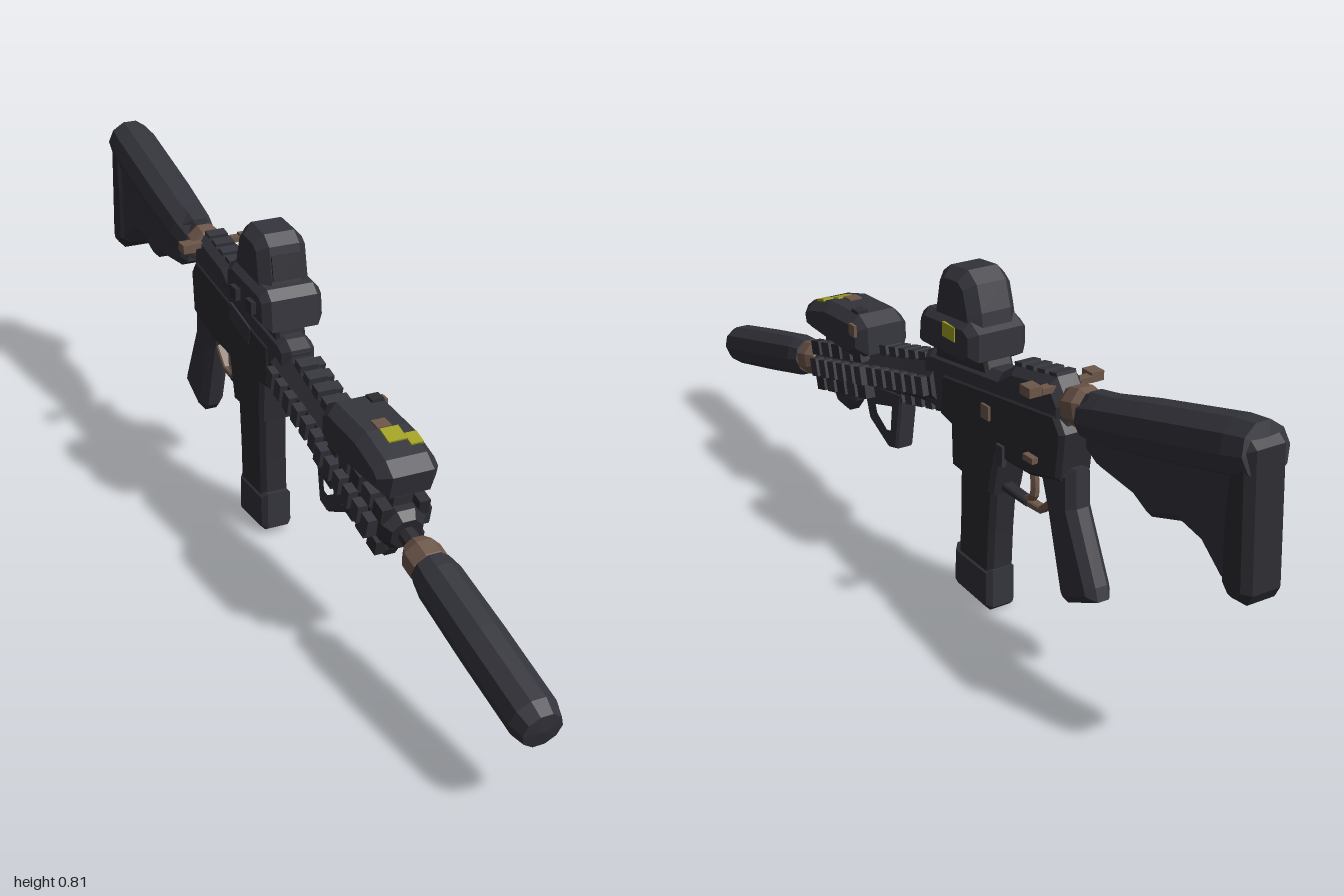
import * as THREE from 'three';

const flat = (name, color) => {
  const m = new THREE.MeshStandardMaterial({ color, flatShading: true });
  m.name = name;
  return m;
};

export function createModel() {
  const body = flat('charcoal', 0x34343c);
  const dark = flat('darkCharcoal', 0x2c2c32);
  const tan = flat('bronze', 0x6e574a);
  const yellow = flat('yellow', 0xa0a022);

  const model = new THREE.Group();
  model.name = 'rifle';
  model.rotation.y = -0.5;
  const root = new THREE.Group();
  root.add(model);

  const add = (name, geo, mat, parent = model) => {
    const mesh = new THREE.Mesh(geo, mat);
    mesh.name = name;
    parent.add(mesh);
    return mesh;
  };
  const toShape = pts => new THREE.Shape(pts.map(p => new THREE.Vector2(...p)));

  // Side profile (length, height) given a width and chamfered edges
  const side = (name, pts, w, mat, bevel = 0.012, hole = null) => {
    const shape = toShape(pts);
    if (hole) shape.holes.push(new THREE.Path(hole.map(p => new THREE.Vector2(...p))));
    const geo = new THREE.ExtrudeGeometry(shape, {
      depth: w - 2 * bevel, bevelEnabled: true, bevelThickness: bevel,
      bevelSize: bevel, bevelOffset: -bevel, bevelSegments: 1,
    });
    geo.translate(0, 0, bevel - w / 2).rotateY(-Math.PI / 2);
    return add(name, geo, mat);
  };
  const box = (name, size, pos, mat, parent = model, tilt = 0) => {
    const mesh = add(name, new THREE.BoxGeometry(...size), mat, parent);
    mesh.position.set(...pos);
    mesh.rotation.x = tilt;
    return mesh;
  };

  // Bore line: everything turned around the barrel points slightly down
  const bore = new THREE.Group();
  bore.name = 'boreLine';
  bore.position.y = 0.488;
  bore.rotation.x = 0.245;
  model.add(bore);
  const lathe = (name, pts, mat, sides = 8) => {
    const geo = new THREE.LatheGeometry(pts.map(p => new THREE.Vector2(...p)), sides);
    geo.rotateY(Math.PI / sides).rotateX(Math.PI / 2);
    return add(name, geo, mat, bore);
  };

  lathe('suppressor', [[0, 0.68], [0.047, 0.68], [0.054, 0.72], [0.056, 0.9], [0.055, 1.1],
    [0.045, 1.135], [0, 1.14]], body, 10);
  lathe('suppressorCollar', [[0, 0.605], [0.032, 0.61], [0.046, 0.635], [0.046, 0.675],
    [0.04, 0.7], [0, 0.7]], tan);
  lathe('barrel', [[0, 0.3], [0.021, 0.3], [0.021, 0.63], [0, 0.63]], dark);

  // Handguard core with toothed rails on four sides
  lathe('handguard', [[0, -0.03], [0.058, -0.03], [0.052, 0.12], [0.05, 0.3], [0.058, 0.34],
    [0.056, 0.55], [0.04, 0.57], [0, 0.57]], dark);
  for (let k = 0; k < 4; k++) {
    const rail = new THREE.Group();
    rail.name = 'rail';
    rail.rotation.z = k * Math.PI / 2;
    bore.add(rail);
    for (let i = 0; i < 12; i++) {
      const t = 0.0 + i * 0.047;
      const out = t > 0.27 ? 0.063 : 0.055;
      box('railTooth', [0.046, 0.028, 0.031], [0, out, t], body, rail);
    }
  }
  // Stepped side blocks at the front of the handguard
  for (const sx of [-1, 1]) for (const row of [-1, 1]) for (let i = 0; i < 5; i++) {
    box('handguardBlock', [0.026, 0.036, 0.04],
      [sx * 0.045, row * 0.046, 0.31 + i * 0.055], i % 2 ? body : dark, bore);
  }

  // Top mounted light unit
  side('lightUnit', [[0.56, 0.45], [0.575, 0.505], [0.54, 0.53], [0.45, 0.555], [0.31, 0.562],
    [0.27, 0.54], [0.265, 0.47], [0.33, 0.44]], 0.145, body, 0.024);
  box('yellowLabel', [0.044, 0.006, 0.044], [0.004, 0.549, 0.474], yellow, model, 0.27);
  box('yellowLabelSide', [0.03, 0.006, 0.036], [0.04, 0.543, 0.497], yellow, model, 0.27);
  box('bronzeLabel', [0.034, 0.006, 0.034], [-0.004, 0.557, 0.434], tan, model, 0.06);
  box('lightUnitButton', [0.03, 0.012, 0.03], [0.035, 0.562, 0.33], dark);
  box('lightUnitCatch', [0.008, 0.03, 0.026], [0.073, 0.53, 0.3], tan);

  // Hand stop and front hook under the handguard
  side('handStop', [[0.34, 0.36], [0.31, 0.28], [0.22, 0.235], [0.18, 0.245], [0.155, 0.4], [0.3, 0.38]],
    0.05, body, 0.006, [[0.285, 0.335], [0.275, 0.305], [0.225, 0.275], [0.2, 0.28], [0.192, 0.36]]);
  side('frontHook', [[0.53, 0.33], [0.48, 0.26], [0.43, 0.255], [0.4, 0.29], [0.38, 0.34]], 0.05, body);

  // Receiver
  side('upperReceiver', [[0.03, 0.43], [0.03, 0.56], [0, 0.577], [-0.28, 0.612], [-0.33, 0.645],
    [-0.48, 0.672], [-0.52, 0.62], [-0.52, 0.53], [-0.06, 0.43]], 0.084, body, 0.018);
  side('lowerReceiver', [[-0.05, 0.43], [-0.098, 0.42], [-0.103, 0.32], [-0.265, 0.308], [-0.29, 0.415],
    [-0.41, 0.42], [-0.52, 0.45], [-0.53, 0.56], [-0.5, 0.6], [-0.06, 0.54]], 0.092, dark, 0.01);
  for (let i = 0; i < 4; i++) {
    box('receiverRailTooth', [0.05, 0.016, 0.028], [0, 0.648 + i * 0.007, -0.34 - i * 0.042], body, model, 0.2);
  }
  box('ejectionCover', [0.008, 0.045, 0.12], [-0.043, 0.535, -0.22], body, model, 0.2);
  box('receiverPin', [0.012, 0.034, 0.03], [0.046, 0.512, -0.25], tan);
  box('selectorLever', [0.022, 0.014, 0.036], [0.05, 0.472, -0.43], tan);
  box('boltCatch', [0.012, 0.05, 0.025], [0.047, 0.43, -0.31], body);

  // Charging handle with a wing on each side
  box('chargingHandle', [0.13, 0.014, 0.022], [0, 0.648, -0.475], tan);
  for (const sx of [-1, 1]) box('chargingHandleWing', [0.032, 0.022, 0.036], [sx * 0.08, 0.65, -0.465], tan);

  // Magazine and its foot
  side('magazine', [[-0.122, 0.36], [-0.12, 0.2], [-0.114, 0.04], [-0.25, 0.03], [-0.256, 0.2],
    [-0.268, 0.36]], 0.07, dark, 0.012);
  side('magazineFoot', [[-0.104, 0.115], [-0.102, 0.02], [-0.12, 0.008], [-0.245, 0], [-0.258, 0.012],
    [-0.255, 0.11]], 0.078, body, 0.012);

  // Trigger, guard and grip
  side('triggerGuard', [[-0.25, 0.335], [-0.25, 0.315], [-0.36, 0.315], [-0.36, 0.33]], 0.03, dark, 0.004);
  const curve = new THREE.CatmullRomCurve3([[0.43, -0.365], [0.38, -0.375], [0.34, -0.372], [0.324, -0.345]]
    .map(([y, z]) => new THREE.Vector3(0, y, z)));
  add('trigger', new THREE.TubeGeometry(curve, 6, 0.011, 6), tan);
  side('guardRear', [[-0.36, 0.332], [-0.36, 0.315], [-0.41, 0.318], [-0.46, 0.36], [-0.45, 0.375],
    [-0.405, 0.333]], 0.024, tan, 0.003);
  side('grip', [[-0.42, 0.46], [-0.455, 0.36], [-0.51, 0.175], [-0.53, 0.155], [-0.635, 0.205],
    [-0.625, 0.235], [-0.55, 0.39], [-0.545, 0.48]], 0.066, body, 0.018);

  // Holographic sight
  side('sightMount', [[-0.02, 0.56], [-0.03, 0.63], [-0.22, 0.64], [-0.24, 0.59]], 0.075, dark, 0.008);
  side('sightBase', [[0.0, 0.6], [-0.006, 0.675], [-0.03, 0.695], [-0.2, 0.71], [-0.235, 0.69],
    [-0.236, 0.625], [-0.2, 0.605]], 0.152, body, 0.018);
  side('sightHood', [[-0.04, 0.67], [-0.06, 0.785], [-0.09, 0.807], [-0.16, 0.814], [-0.195, 0.79],
    [-0.215, 0.73], [-0.225, 0.67]], 0.124, body, 0.024);
  box('sightWindow', [0.072, 0.06, 0.006], [0, 0.735, -0.0495], dark, model, -0.17);
  box('sightLabel', [0.006, 0.034, 0.05], [0.0755, 0.672, -0.142], yellow);
  for (const z of [-0.07, -0.16]) box('sightKnob', [0.02, 0.03, 0.035], [-0.078, 0.645, z], dark);

  // Stock: nut, tube, rounded body, lower frame and pad
  lathe('stockNut', [[0, -0.59], [0.036, -0.59], [0.046, -0.575], [0.046, -0.54], [0.038, -0.52], [0, -0.52]], tan);
  lathe('bufferTube', [[0, -0.7], [0.034, -0.7], [0.034, -0.5], [0, -0.5]], dark);
  lathe('stockBody', [[0, -1.12], [0.058, -1.115], [0.064, -1.06], [0.063, -0.8], [0.058, -0.65],
    [0.048, -0.585], [0, -0.58]], body, 10).position.y = -0.022;
  side('stockFrame', [[-0.59, 0.62], [-0.595, 0.555], [-0.64, 0.53], [-0.76, 0.515], [-0.81, 0.49],
    [-0.9, 0.52], [-0.97, 0.505], [-1.03, 0.455], [-1.09, 0.44], [-1.1, 0.6], [-1.08, 0.74], [-0.8, 0.67]],
  0.084, body, 0.016);
  side('stockRidge', [[-0.58, 0.62], [-0.58, 0.672], [-1.06, 0.768], [-1.08, 0.65]], 0.07, body, 0.02);
  side('buttPad', [[-1.04, 0.76], [-1.07, 0.772], [-1.1, 0.75], [-1.118, 0.46], [-1.105, 0.435],
    [-1.06, 0.432], [-1.035, 0.46], [-1.03, 0.6]], 0.1, dark, 0.016);

  return root;
}
